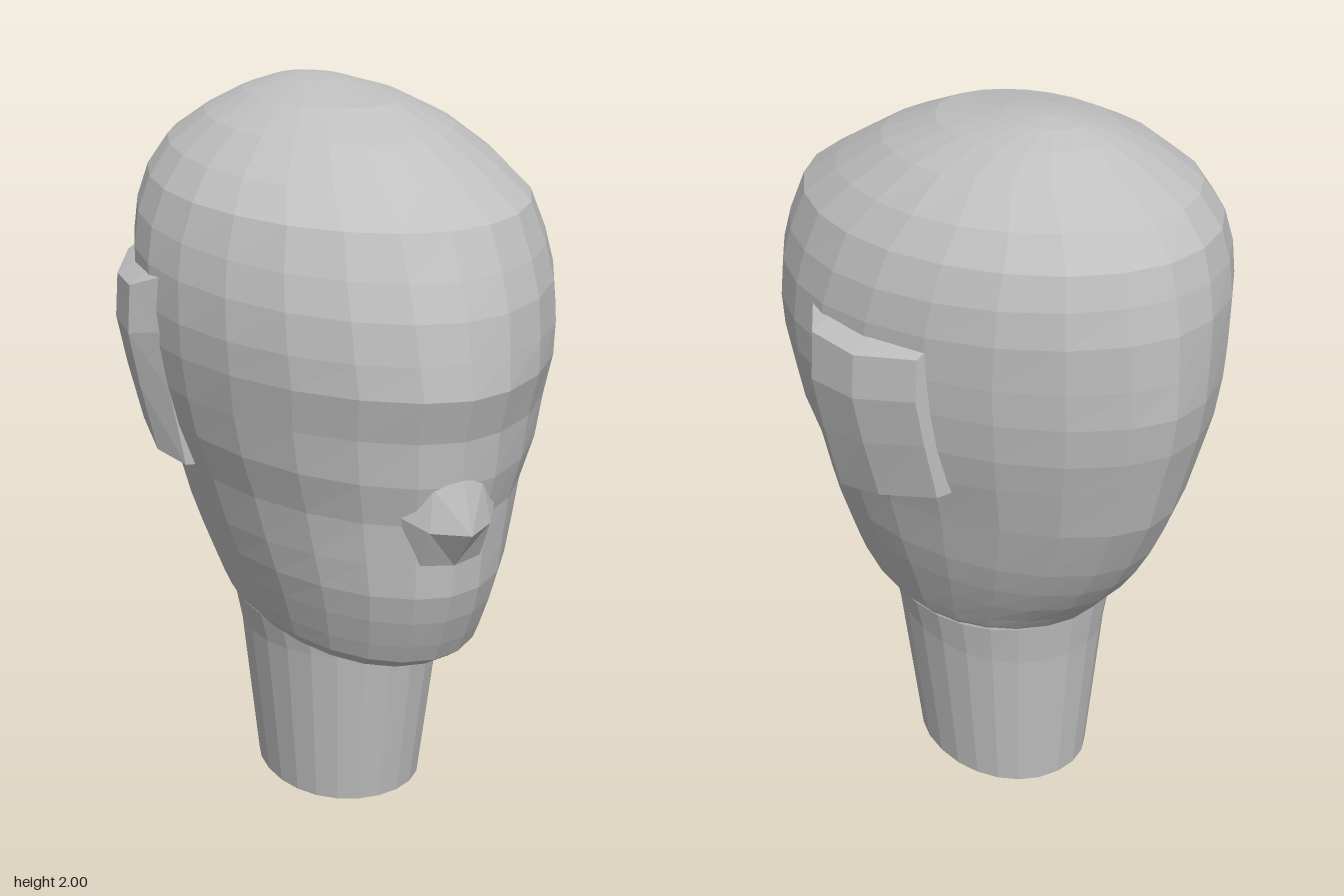
import * as THREE from 'three';

const SEG = 24;

// Egg-shaped ring: yf/yb height at front/back, w half width, zf/zb front/back, zm widest point, p roundness
function ring([yf, yb, w, zf, zb, zm, p]) {
  const pts = [];
  for (let j = 0; j < SEG; j++) {
    const a = (j / SEG) * Math.PI * 2;
    const s = Math.sin(a), c = Math.cos(a);
    const x = w * Math.sign(s) * Math.abs(s) ** (2 / p);
    const z = zm + (c > 0 ? zf - zm : zm - zb) * Math.sign(c) * Math.abs(c) ** (2 / p);
    const t = (zf - z) / (zf - zb);
    pts.push([x, yf + (yb - yf) * t, z]);
  }
  return pts;
}

function fromTriangles(tris) {
  const g = new THREE.BufferGeometry();
  g.setAttribute('position', new THREE.Float32BufferAttribute(tris.flat(2), 3));
  g.computeVertexNormals();
  return g;
}

// Closed skin through a stack of rings, bottom to top
function loft(rows) {
  const rings = rows.map(ring);
  const tris = [];
  for (let i = 0; i < rings.length - 1; i++) {
    for (let j = 0; j < SEG; j++) {
      const k = (j + 1) % SEG;
      const a = rings[i][j], b = rings[i][k], c = rings[i + 1][k], d = rings[i + 1][j];
      tris.push([a, b, c], [a, c, d]);
    }
  }
  const centre = (r) => [0, (r[0][1] + r[SEG / 2][1]) / 2, (r[0][2] + r[SEG / 2][2]) / 2];
  const lo = rings[0], hi = rings[rings.length - 1];
  for (let j = 0; j < SEG; j++) {
    const k = (j + 1) % SEG;
    tris.push([centre(lo), lo[k], lo[j]], [centre(hi), hi[j], hi[k]]);
  }
  return fromTriangles(tris);
}

// Raised ear pad on the +x side (side = 1) or mirrored (side = -1)
function earGeometry(side) {
  const zs = [0.045, -0.04, -0.2, -0.355];
  const xs = [0.545, 0.6, 0.58, 0.495];
  const top = [1.54, 1.505, 1.5, 1.525];
  const bottom = [1.02, 1.045, 1.085, 1.125];
  const scale = [0.885, 0.955, 1, 0.985];
  const heights = [0, 0.4, 0.72, 1];
  const outer = zs.map((z, i) => heights.map((h, j) =>
    [xs[i] * scale[j], bottom[i] + (top[i] - bottom[i]) * h, z]));
  // Rim points sunk into the head
  const sink = ([x, y, z], dy) => [x - 0.11, y + dy, z];
  const grid = outer.map((col) => [sink(col[0], 0), ...col, sink(col[3], 0.07)]);
  grid.unshift(grid[0].map(([x, y, z]) => [x - 0.1, y, z + 0.02]));
  grid.push(grid[4].map(([x, y, z]) => [x - 0.1, y, z]));
  const tris = [];
  for (let i = 0; i < grid.length - 1; i++) {
    for (let j = 0; j < grid[0].length - 1; j++) {
      const a = grid[i][j], b = grid[i + 1][j], c = grid[i + 1][j + 1], d = grid[i][j + 1];
      tris.push([a, b, c], [a, c, d]);
    }
  }
  return fromTriangles(tris.map((t) => {
    const m = t.map(([x, y, z]) => [x * side, y, z]);
    return side > 0 ? m : m.reverse();
  }));
}

// Wedge nose with a flat underside
function noseGeometry() {
  const bridge = [0, 1.12, 0.697], tip = [0, 0.99, 0.745], base = [0, 0.88, 0.658];
  const tris = [];
  for (const s of [1, -1]) {
    const wing = [s * 0.085, 0.99, 0.685];
    const brow = [s * 0.07, 1.1, 0.668];
    const foot = [s * 0.085, 0.885, 0.635];
    const cheek = [s * 0.14, 1.02, 0.61];
    const half = [
      [tip, wing, brow], [tip, brow, bridge],
      [wing, cheek, brow], [foot, cheek, wing],
      [base, foot, wing], [base, wing, tip],
    ];
    tris.push(...half.map((t) => (s > 0 ? t : [...t].reverse())));
  }
  return fromTriangles(tris);
}

export function createModel() {
  const model = new THREE.Group();
  model.name = 'mannequinHead';
  const grey = new THREE.MeshStandardMaterial({ color: 0xc0c0c0, flatShading: true });
  grey.name = 'plain grey';

  const add = (name, geometry) => {
    const mesh = new THREE.Mesh(geometry, grey);
    mesh.name = name;
    model.add(mesh);
  };

  // Skull and face, from under the jaw to the crown
  add('head', loft([
    [0.505, 0.53, 0.24, 0.33, -0.3, 0, 2],
    [0.54, 0.56, 0.285, 0.51, -0.345, 0, 2.1],
    [0.575, 0.59, 0.315, 0.562, -0.37, 0, 2],
    [0.63, 0.63, 0.335, 0.59, -0.405, 0, 1.95],
    [0.71, 0.7, 0.362, 0.625, -0.47, 0, 1.9],
    [0.79, 0.78, 0.392, 0.65, -0.53, 0, 1.85],
    [0.88, 0.87, 0.423, 0.655, -0.585, 0, 1.8],
    [0.99, 1.03, 0.46, 0.662, -0.66, 0, 1.75],
    [1.1, 1.18, 0.505, 0.69, -0.7, 0, 1.75],
    [1.22, 1.27, 0.53, 0.7, -0.725, 0, 1.75],
    [1.335, 1.38, 0.548, 0.735, -0.742, 0, 1.75],
    [1.42, 1.48, 0.552, 0.72, -0.74, 0, 1.8],
    [1.52, 1.6, 0.545, 0.7, -0.735, -0.02, 1.85],
    [1.61, 1.69, 0.525, 0.662, -0.715, -0.04, 1.9],
    [1.72, 1.77, 0.485, 0.605, -0.69, -0.05, 1.95],
    [1.795, 1.85, 0.42, 0.47, -0.62, -0.08, 2],
    [1.88, 1.92, 0.32, 0.32, -0.49, -0.1, 2],
    [1.95, 1.965, 0.205, 0.15, -0.4, -0.13, 2],
    [1.99, 1.99, 0.09, -0.08, -0.32, -0.2, 2],
    [2, 2, 0.02, -0.18, -0.24, -0.21, 2],
  ]));

  // Tapered neck
  add('neck', loft([
    [0, 0, 0.225, 0.245, -0.31, -0.03, 2.1],
    [0.48, 0.45, 0.275, 0.31, -0.345, -0.02, 2.1],
    [0.54, 0.58, 0.295, 0.315, -0.362, -0.02, 2.1],
    [0.62, 0.66, 0.27, 0.3, -0.37, -0.02, 2.1],
  ]));

  add('nose', noseGeometry());
  add('leftEar', earGeometry(1));
  add('rightEar', earGeometry(-1));

  return model;
}
